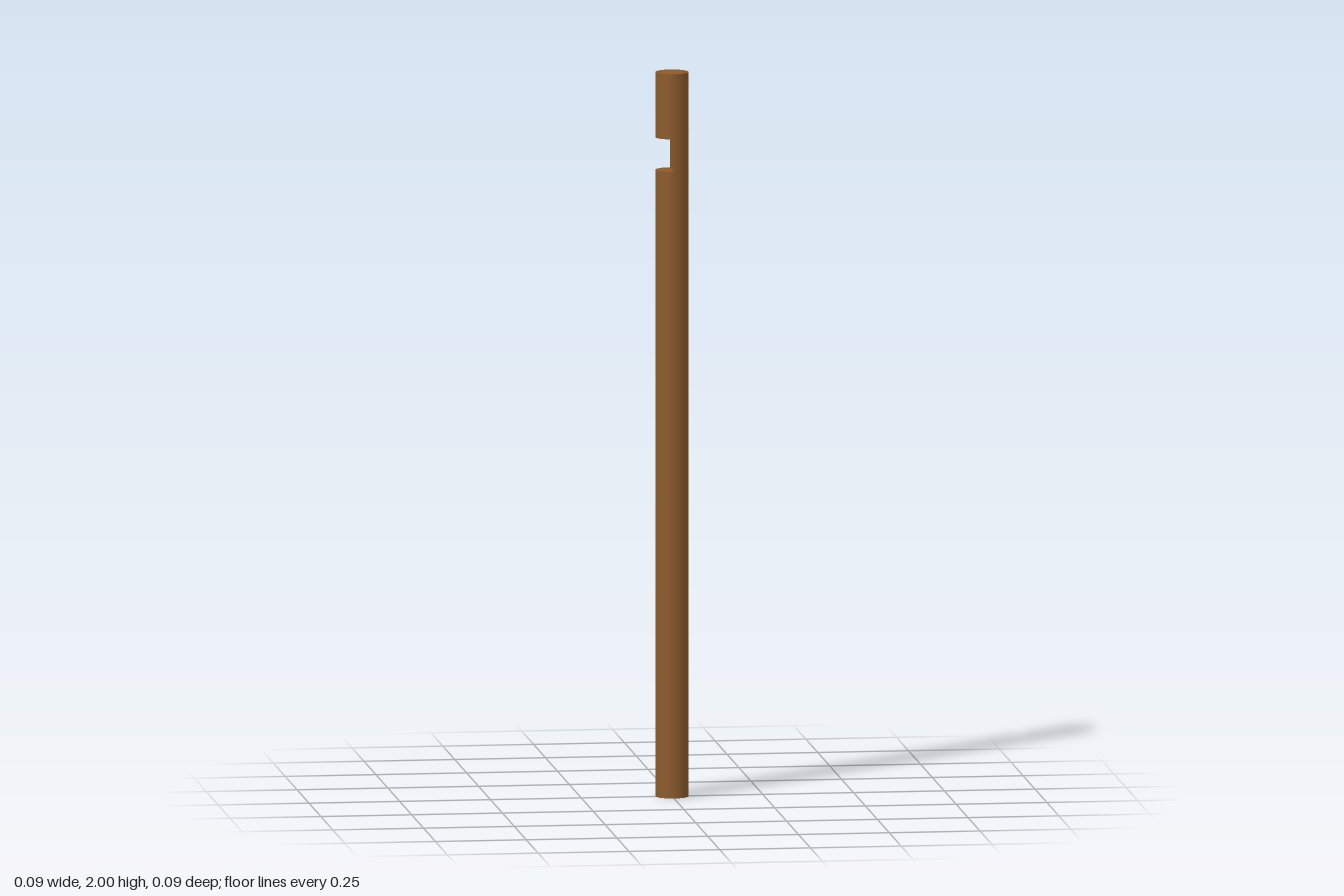
import * as THREE from 'three';
import { mergeGeometries } from 'three/addons/utils/BufferGeometryUtils.js';

const R = 0.045, HEIGHT = 2, SEGMENTS = 64;
const NOTCH_BOTTOM = 1.73, NOTCH_TOP = 1.82;

// Open wall of the rod between two heights; sweep PI keeps only the +x half
function wall(y0, y1, sweep = Math.PI * 2) {
  const n = Math.round(SEGMENTS * sweep / (Math.PI * 2));
  return new THREE.CylinderGeometry(R, R, y1 - y0, n, 1, true, 0, sweep)
    .translate(0, (y0 + y1) / 2, 0);
}

// Flat disc facing up (1) or down (-1); half keeps only the -x side
function cap(y, facing, half = false) {
  const n = half ? SEGMENTS / 2 : SEGMENTS;
  return new THREE.CircleGeometry(R, n, half ? Math.PI / 2 : 0, half ? Math.PI : Math.PI * 2)
    .rotateX(-facing * Math.PI / 2)
    .translate(0, y, 0);
}

export function createModel() {
  const model = new THREE.Group();
  model.name = 'notchedRod';
  const wood = new THREE.MeshStandardMaterial({ color: 0x8b5a2b });
  const add = (name, parts) => {
    const mesh = new THREE.Mesh(mergeGeometries(parts), wood);
    mesh.name = name;
    model.add(mesh);
  };

  // Long shaft below the notch, with the notch floor
  add('shaft', [wall(0, NOTCH_BOTTOM), cap(0, -1), cap(NOTCH_BOTTOM, 1, true)]);

  // Half-round neck with the flat back of the notch facing -x
  const back = new THREE.PlaneGeometry(2 * R, NOTCH_TOP - NOTCH_BOTTOM)
    .rotateY(-Math.PI / 2)
    .translate(0, (NOTCH_BOTTOM + NOTCH_TOP) / 2, 0);
  add('notchNeck', [wall(NOTCH_BOTTOM, NOTCH_TOP, Math.PI), back]);

  // Short end above the notch, with the notch ceiling
  add('topEnd', [wall(NOTCH_TOP, HEIGHT), cap(HEIGHT, 1), cap(NOTCH_TOP, -1, true)]);

  return model;
}
